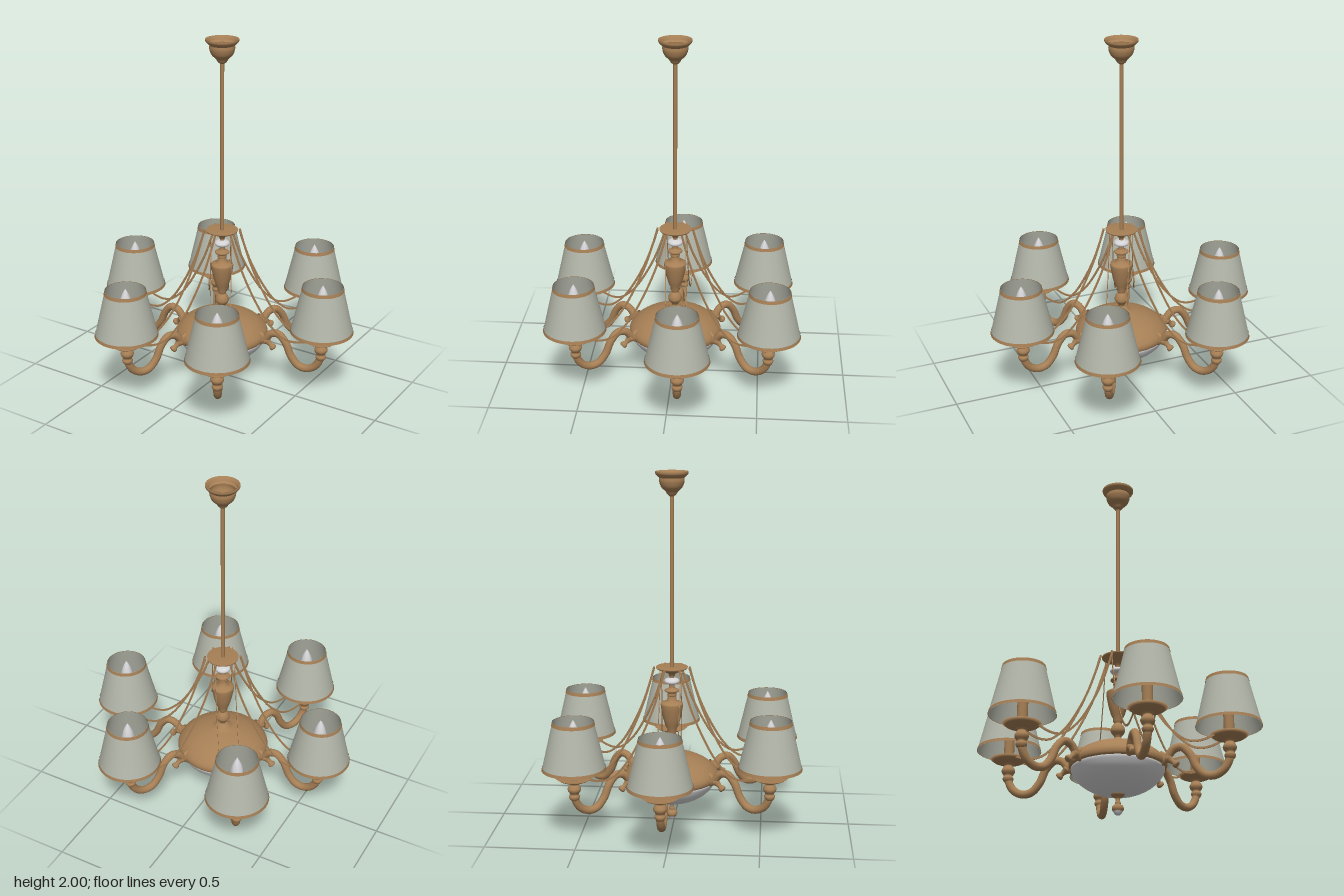
import * as THREE from 'three';

const mat = (name, color) => {
  const m = new THREE.MeshStandardMaterial({ color, side: THREE.DoubleSide });
  m.name = name;
  return m;
};

export function createModel() {
  const bronze = mat('bronze', 0xa67f55);
  const fabric = mat('shade fabric', 0xb3b6a9);
  const glass = mat('frosted glass', 0xd4d4d6);

  const root = new THREE.Group();
  root.name = 'chandelier';
  const body = new THREE.Group();
  body.name = 'body';
  body.position.z = -0.013;
  root.add(body);

  const add = (parent, name, geometry, material, x = 0, y = 0, z = 0) => {
    const mesh = new THREE.Mesh(geometry, material);
    mesh.name = name;
    mesh.position.set(x, y, z);
    parent.add(mesh);
    return mesh;
  };
  const v2 = (pts) => pts.map((p) => new THREE.Vector2(p[0], p[1]));
  const lathe = (pts, seg = 32) => new THREE.LatheGeometry(v2(pts), seg);
  // Smooth lathe: profile points joined by a spline
  const turned = (pts, n = 40, seg = 32) => {
    const p = new THREE.SplineCurve(v2(pts)).getPoints(n);
    p.forEach((q) => { q.x = Math.max(q.x, 0); });
    return new THREE.LatheGeometry(p, seg);
  };

  // Ceiling canopy, open at the top
  add(body, 'canopyBell', turned([[0.012, 1.865], [0.024, 1.875], [0.035, 1.892], [0.058, 1.915],
    [0.069, 1.945], [0.068, 1.968]]), bronze);
  add(body, 'canopyLip', turned([[0.068, 1.966], [0.078, 1.974], [0.09, 1.988], [0.091, 2.0]], 12), bronze);
  add(body, 'canopyInnerRim', lathe([[0.091, 2.0], [0.08, 1.997], [0.072, 1.98]]), bronze);
  add(body, 'rod', new THREE.CylinderGeometry(0.011, 0.011, 1.08, 16), bronze, 0, 1.35, 0);

  // Upper crown that carries the swags
  add(body, 'crown', lathe([[0.014, 0.855], [0.022, 0.872], [0.05, 0.885], [0.088, 0.902], [0.09, 0.91],
    [0.011, 0.908]]), bronze);
  add(body, 'glassDisc', turned([[0.012, 0.807], [0.036, 0.815], [0.043, 0.826], [0.036, 0.838],
    [0.012, 0.846]], 20), glass);

  // Turned centre column
  add(body, 'columnCore', new THREE.CylinderGeometry(0.013, 0.013, 0.5, 16), bronze, 0, 0.65, 0);
  add(body, 'columnCap', turned([[0.013, 0.735], [0.026, 0.742], [0.026, 0.76], [0.04, 0.768],
    [0.038, 0.778], [0.018, 0.787], [0.016, 0.81]], 28), bronze);
  add(body, 'vase', lathe([[0.02, 0.515], [0.027, 0.53], [0.026, 0.545], [0.037, 0.565], [0.05, 0.61],
    [0.06, 0.66], [0.064, 0.69], [0.062, 0.7], [0.045, 0.706], [0.028, 0.715], [0.024, 0.74]]), bronze);
  add(body, 'columnBall', turned([[0.016, 0.43], [0.022, 0.445], [0.036, 0.462], [0.039, 0.478],
    [0.033, 0.498], [0.02, 0.515]], 24), bronze);

  // Dome and glass bowl
  add(body, 'dome', turned([[0.25, 0.252], [0.262, 0.262], [0.264, 0.285], [0.25, 0.31], [0.215, 0.342],
    [0.16, 0.372], [0.1, 0.392], [0.06, 0.402], [0.04, 0.415], [0.018, 0.432]], 40, 48), bronze);
  add(body, 'bowl', turned([[0.0, 0.114], [0.06, 0.117], [0.12, 0.132], [0.18, 0.162], [0.225, 0.2],
    [0.25, 0.24], [0.252, 0.256]], 30, 48), glass);

  // Bottom finial
  add(body, 'finialNeck', turned([[0.012, 0.05], [0.016, 0.066], [0.012, 0.08], [0.014, 0.095],
    [0.034, 0.108], [0.038, 0.12]], 24), bronze);
  add(body, 'finialBall', turned([[0.026, 0.022], [0.032, 0.036], [0.027, 0.052], [0.012, 0.062]], 16), bronze);
  add(body, 'finialTip', turned([[0.0, 0.0], [0.015, 0.005], [0.026, 0.022]], 10), glass);

  // Shared arm geometry: local +x points outward
  const R = 0.622;
  const armPath = new THREE.CatmullRomCurve3([[0.24, 0.262], [0.275, 0.285], [0.315, 0.328], [0.36, 0.334],
    [0.405, 0.29], [0.44, 0.215], [0.485, 0.167], [0.535, 0.159], [0.585, 0.184], [0.614, 0.228],
    [R, 0.275]].map((p) => new THREE.Vector3(p[0], p[1], 0)));
  const armGeo = new THREE.TubeGeometry(armPath, 56, 0.022, 12);
  const stubGeo = turned([[0, 0], [0.018, 0.004], [0.02, 0.018], [0.013, 0.03], [0.017, 0.05],
    [0.025, 0.066], [0.018, 0.085], [0.014, 0.125]], 28, 16);
  const cupGeo = turned([[0.02, 0.235], [0.027, 0.245], [0.03, 0.258], [0.024, 0.272], [0.034, 0.288],
    [0.037, 0.302], [0.03, 0.318], [0.024, 0.328], [0.034, 0.34]], 32, 24);
  const panGeo = lathe([[0.03, 0.338], [0.06, 0.345], [0.085, 0.356], [0.101, 0.368], [0.08, 0.361],
    [0.0, 0.356]]);
  const candleGeo = new THREE.CylinderGeometry(0.028, 0.028, 0.2, 20);
  const bulbGeo = turned([[0.022, 0.55], [0.034, 0.575], [0.037, 0.6], [0.028, 0.64], [0.014, 0.672],
    [0.0, 0.694]], 10, 8);

  // Shade cone with trim bands at both rims
  const shadeR = (y) => 0.175 - (y - 0.415) * (0.063 / 0.27);
  const cone = (y0, y1, off = 0) => lathe([[shadeR(y0) + off, y0], [shadeR(y1) + off, y1]], 40);
  const shadeGeo = cone(0.415, 0.685);
  const bandGeos = [cone(0.414, 0.431, 0.002), cone(0.667, 0.686, 0.002)];

  // Flat curved swag ribbon from the crown to the pan
  const swag = new THREE.SplineCurve(v2([[0.082, 0.908], [0.11, 0.82], [0.155, 0.7], [0.22, 0.57],
    [0.3, 0.445], [0.385, 0.362], [0.45, 0.338], [0.51, 0.343], [0.56, 0.36]]));
  const upper = [], lower = [];
  for (let i = 0; i <= 36; i++) {
    const p = swag.getPoint(i / 36), t = swag.getTangent(i / 36);
    const n = new THREE.Vector2(-t.y, t.x).multiplyScalar(0.006);
    upper.push(p.clone().add(n));
    lower.unshift(p.clone().sub(n));
  }
  const swagGeo = new THREE.ExtrudeGeometry(new THREE.Shape([...upper, ...lower]),
    { depth: 0.004, bevelEnabled: false });
  swagGeo.translate(0, 0, -0.002);

  // Six slightly uneven arms
  [5.1, 60.5, 125.5, 179.1, -115.7, -60.1].forEach((deg, i) => {
    const arm = new THREE.Group();
    arm.name = 'arm' + (i + 1);
    arm.rotation.y = THREE.MathUtils.degToRad(deg);
    body.add(arm);
    add(arm, 'armTube', armGeo, bronze);
    add(arm, 'armStub', stubGeo, bronze, 0.337, 0.236, 0).rotation.z = 0.88;
    add(arm, 'cup', cupGeo, bronze, R);
    add(arm, 'pan', panGeo, bronze, R);
    add(arm, 'candle', candleGeo, bronze, R, 0.455);
    add(arm, 'bulb', bulbGeo, glass, R);
    add(arm, 'shade', shadeGeo, fabric, R);
    bandGeos.forEach((g) => add(arm, 'shadeBand', g, bronze, R));
    [-1, 1].forEach((s) => add(arm, 'swag', swagGeo, bronze, 0, 0, s * 0.057));
  });
  return root;
}
